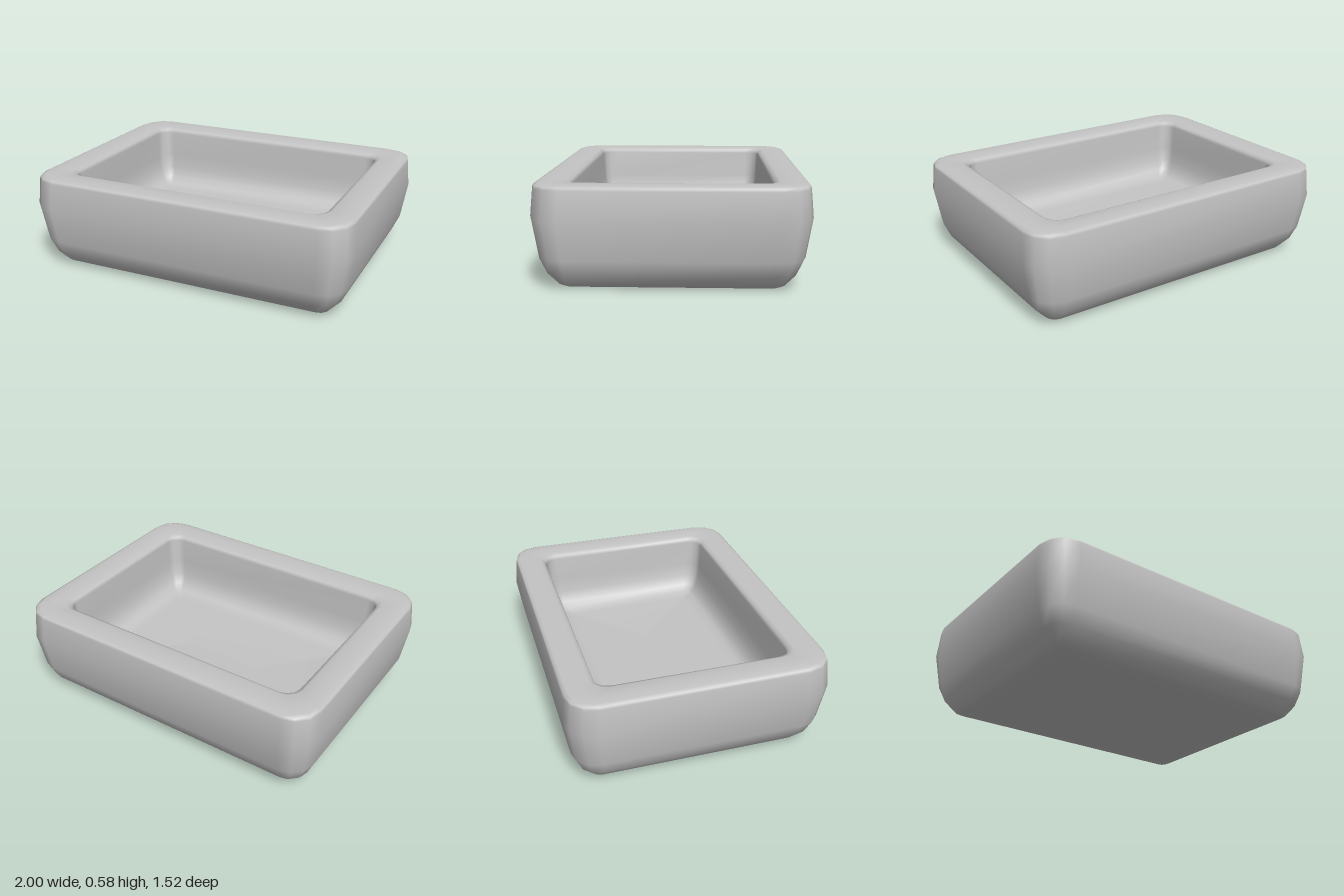
import * as THREE from 'three';

// Rings of the shell: [half width, height, corner radius]
const PROFILE = [
  [0.24, 0, 0], [0.76, 0, 0.02], [0.825, 0.003, 0.04], [0.86, 0.02, 0.06], [0.925, 0.09, 0.115],
  [0.965, 0.18, 0.145], [1.0, 0.4, 0.165],
  [0.986, 0.56, 0.16], [0.98, 0.575, 0.155], [0.96, 0.583, 0.145], [0.9, 0.585, 0.12],
  [0.83, 0.581, 0.095], [0.805, 0.57, 0.085], [0.797, 0.55, 0.08],
  [0.788, 0.39, 0.08], [0.777, 0.3, 0.075], [0.75, 0.235, 0.06], [0.71, 0.2, 0.045],
  [0.64, 0.187, 0.03], [0.24, 0.175, 0],
];
const WIDTH_MINUS_DEPTH = 0.24;
const CORNER_STEPS = 3;

// Rounded rectangle at a given height
function ring([hx, y, r]) {
  const hz = hx - WIDTH_MINUS_DEPTH;
  const points = [];
  [[1, 1], [-1, 1], [-1, -1], [1, -1]].forEach(([sx, sz], corner) => {
    for (let k = 0; k <= CORNER_STEPS; k++) {
      const a = (corner + k / CORNER_STEPS) * Math.PI / 2;
      points.push(sx * (hx - r) + r * Math.cos(a), y, sz * (hz - r) + r * Math.sin(a));
    }
  });
  return points;
}

// Skin consecutive rings into one smooth surface
function loft(profile) {
  const n = 4 * (CORNER_STEPS + 1);
  const index = [];
  for (let i = 0; i < profile.length - 1; i++) {
    for (let j = 0; j < n; j++) {
      const a = i * n + j, c = i * n + (j + 1) % n;
      index.push(a, a + n, c, a + n, c + n, c);
    }
  }
  const geometry = new THREE.BufferGeometry();
  geometry.setAttribute('position', new THREE.Float32BufferAttribute(profile.flatMap(ring), 3));
  geometry.setIndex(index);
  geometry.computeVertexNormals();
  return geometry;
}

export function createModel() {
  const group = new THREE.Group();
  group.name = 'basin';
  const stone = new THREE.MeshStandardMaterial({ color: 0xc4c4c4 });
  stone.name = 'grey';

  // Outer wall, rim and hollow in one continuous skin
  const shell = new THREE.Mesh(loft(PROFILE), stone);
  shell.name = 'basinShell';
  group.add(shell);
  return group;
}
